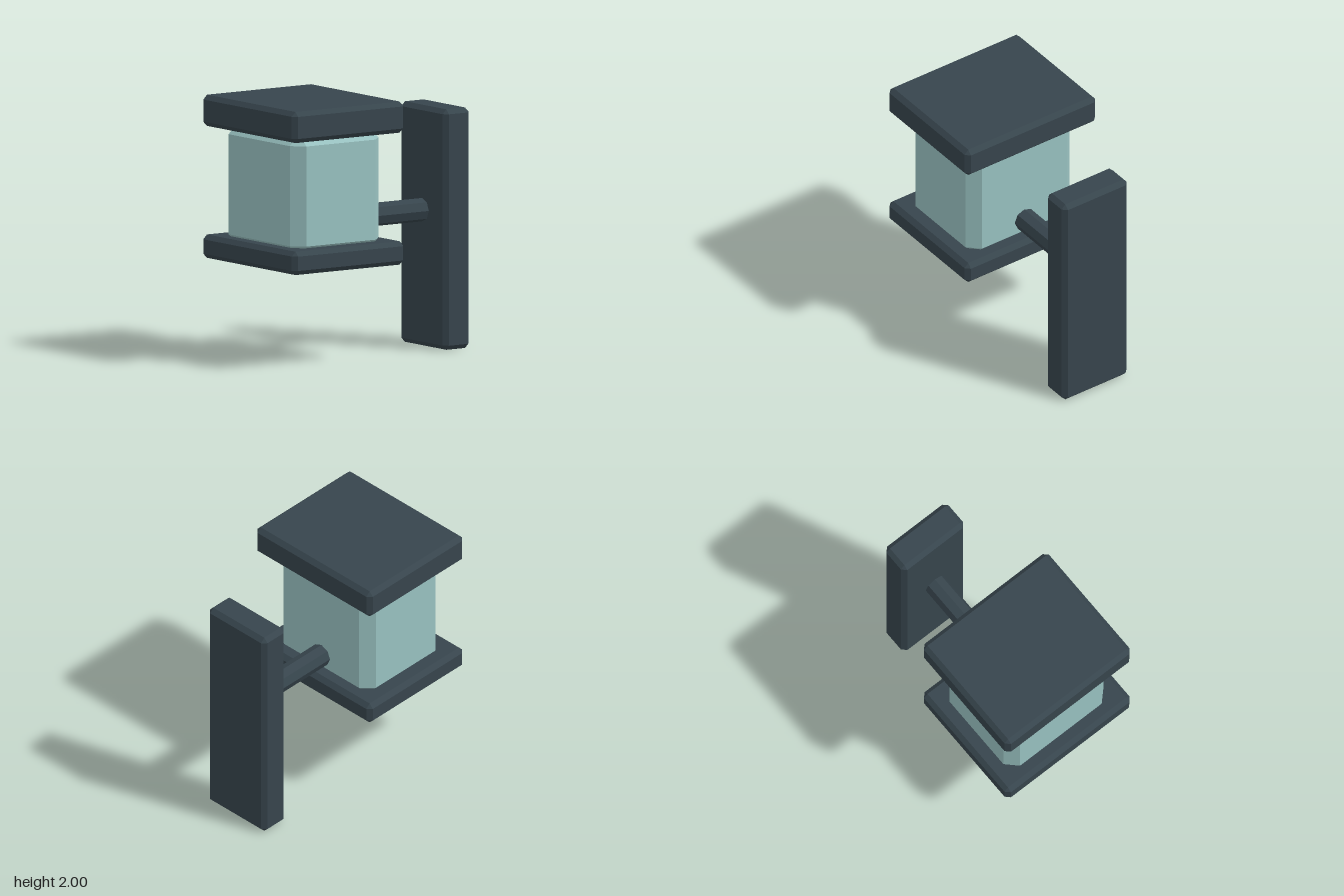
import * as THREE from 'three';
import { ConvexGeometry } from 'three/addons/geometries/ConvexGeometry.js';

// Box with flat chamfers on every edge and corner, given by its extents
function chamferBox(name, material, [x0, x1], [y0, y1], [z0, z1], bevel) {
  const half = [(x1 - x0) / 2, (y1 - y0) / 2, (z1 - z0) / 2];
  const points = [];
  for (const sx of [-1, 1]) for (const sy of [-1, 1]) for (const sz of [-1, 1]) {
    for (let axis = 0; axis < 3; axis++) {
      const [x, y, z] = half.map((h, i) => (i === axis ? h : h - bevel));
      points.push(new THREE.Vector3(sx * x, sy * y, sz * z));
    }
  }
  const mesh = new THREE.Mesh(new ConvexGeometry(points), material);
  mesh.name = name;
  mesh.position.set((x0 + x1) / 2, (y0 + y1) / 2, (z0 + z1) / 2);
  return mesh;
}

export function createModel() {
  const darkMetal = new THREE.MeshStandardMaterial({ name: 'darkMetal', color: 0x37454d });
  const paleGlass = new THREE.MeshStandardMaterial({ name: 'paleGlass', color: 0x99c2c1 });

  const group = new THREE.Group();
  group.name = 'wallLantern';

  // Wall plate, lantern cap and base, and the glass block between them
  group.add(
    chamferBox('wallPlate', darkMetal, [-0.305, 0.305], [0, 1.85], [-0.94, -0.695], 0.035),
    chamferBox('cap', darkMetal, [-0.613, 0.613], [1.76, 2], [-0.105, 0.94], 0.035),
    chamferBox('base', darkMetal, [-0.613, 0.613], [0.745, 0.925], [-0.105, 0.94], 0.035),
    chamferBox('glass', paleGlass, [-0.49, 0.49], [0.85, 1.8], [0, 0.83], 0.09),
  );

  // Octagonal arm from the wall plate into the back of the glass
  const armGeometry = new THREE.CylinderGeometry(0.09, 0.09, 0.78, 8).toNonIndexed();
  armGeometry.computeVertexNormals();
  const arm = new THREE.Mesh(armGeometry, darkMetal);
  arm.name = 'arm';
  arm.rotation.x = Math.PI / 2;
  arm.position.set(0, 1.05, -0.36);
  group.add(arm);

  return group;
}
